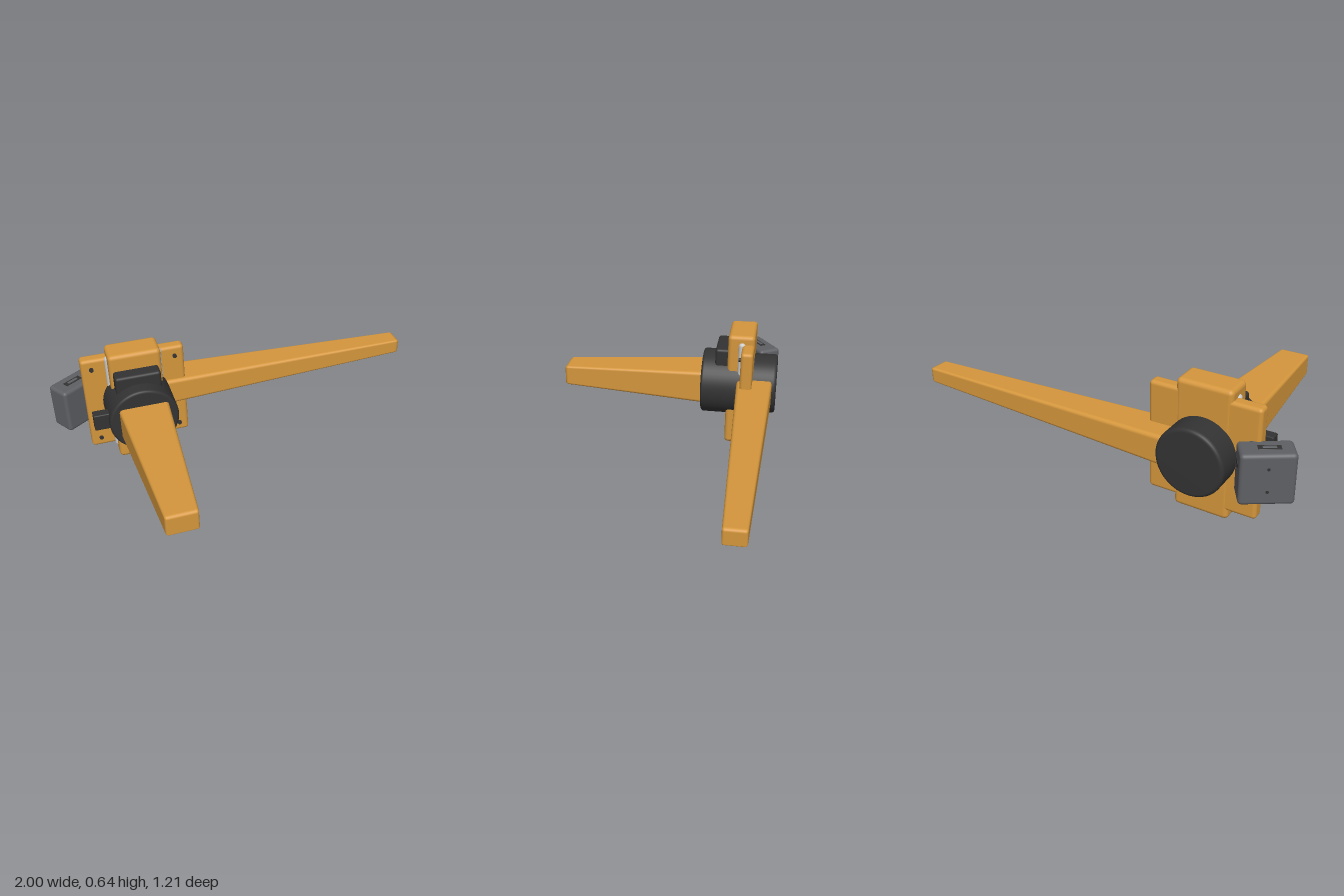
import * as THREE from 'three';
import { RoundedBoxGeometry } from 'three/addons/geometries/RoundedBoxGeometry.js';

const material = (name, color) => {
  const m = new THREE.MeshStandardMaterial({ color });
  m.name = name;
  return m;
};

export function createModel() {
  const orange = material('orange', 0xd4963c);
  const black = material('black', 0x333333);
  const grey = material('grey', 0x5f6064);
  const silver = material('silver', 0xc9c9c9);

  const CX = -0.56, CY = 0.325; // drum axis
  const model = new THREE.Group();
  model.name = 'model';

  const add = (parent, name, geometry, mat, x, y, z) => {
    const mesh = new THREE.Mesh(geometry, mat);
    mesh.name = name;
    mesh.position.set(x, y, z);
    parent.add(mesh);
    return mesh;
  };
  const block = (parent, name, mat, [x0, x1], [y0, y1], [z0, z1], r) =>
    add(parent, name, new RoundedBoxGeometry(x1 - x0, y1 - y0, z1 - z0, 3, r), mat,
      (x0 + x1) / 2, (y0 + y1) / 2, (z0 + z1) / 2);

  // Drum with softened rims, axis along z
  const drum = (name, radius, z0, z1, r) => {
    const h = z1 - z0, pts = [new THREE.Vector2(0, 0)];
    for (const [cy, start] of [[r, -90], [h - r, 0]]) {
      for (let i = 0; i <= 4; i++) {
        const a = THREE.MathUtils.degToRad(start + i * 22.5);
        pts.push(new THREE.Vector2(radius - r + r * Math.cos(a), cy + r * Math.sin(a)));
      }
    }
    pts.push(new THREE.Vector2(0, h));
    add(model, name, new THREE.LatheGeometry(pts, 56).rotateX(Math.PI / 2), black, CX, CY, z0);
  };

  // Rounded beam along z that narrows evenly towards +z
  const taperedArm = (w, h, length, tip) => {
    const g = new RoundedBoxGeometry(w, h, length, 4, 0.02);
    const p = g.attributes.position;
    for (let i = 0; i < p.count; i++) {
      const s = THREE.MathUtils.lerp(1, tip, p.getZ(i) / length + 0.5);
      p.setXY(i, p.getX(i) * s, p.getY(i) * s);
    }
    return g;
  };

  // Central body, side plate and the gasket between them
  block(model, 'body', orange, [-0.695, -0.423], [0, 0.645], [-0.478, -0.333], 0.022);
  block(model, 'mountingPlate', orange, [-0.83, -0.288], [0.05, 0.598], [-0.476, -0.411], 0.018);
  block(model, 'gasket', silver, [-0.707, -0.409], [0.037, 0.608], [-0.43, -0.391], 0.018);

  // Plate screws
  const screw = new THREE.CylinderGeometry(0.011, 0.011, 0.02, 16).rotateX(Math.PI / 2);
  for (const x of [-0.778, -0.34]) {
    for (const y of [0.105, 0.545]) add(model, 'plateScrew', screw, black, x, y, -0.409);
  }

  // Front and back drums with their housings
  drum('frontDrum', 0.181, -0.43, -0.19, 0.014);
  drum('backDrum', 0.166, -0.607, -0.44, 0.018);
  block(model, 'topHousing', black, [-0.68, -0.443], [0.4, 0.556], [-0.36, -0.264], 0.015);
  block(model, 'sideConnector', black, [-0.815, -0.7], [0.28, 0.372], [-0.292, -0.24], 0.006);

  // Two tapered arms
  add(model, 'frontArm', taperedArm(0.264, 0.19, 0.855, 0.59), orange, CX + 0.002, CY, 0.178);
  add(model, 'sideArm', taperedArm(0.196, 0.15, 1.44, 0.54).rotateY(Math.PI / 2),
    orange, 0.28, CY, -0.486);

  // Angled sensor case
  const sensor = new THREE.Group();
  sensor.name = 'sensor';
  sensor.position.set(-0.868, 0.324, -0.494);
  sensor.rotation.y = THREE.MathUtils.degToRad(33);
  model.add(sensor);
  add(sensor, 'sensorCase', new RoundedBoxGeometry(0.24, 0.244, 0.128, 3, 0.018), grey, 0, 0, 0);

  // Slot with an inner tongue on top
  add(sensor, 'sensorSlot', new RoundedBoxGeometry(0.1, 0.004, 0.034, 2, 0.002), black, -0.01, 0.122, 0);
  add(sensor, 'slotTongue', new RoundedBoxGeometry(0.06, 0.004, 0.016, 2, 0.002), grey, -0.01, 0.124, 0);

  // Case screws on the back and the cable socket on the inner side
  const dot = new THREE.CylinderGeometry(0.007, 0.007, 0.004, 12);
  for (const y of [-0.055, 0.055]) {
    add(sensor, 'caseScrew', dot, black, 0, y, -0.064).rotation.x = Math.PI / 2;
  }
  add(sensor, 'cableSocket', new THREE.CylinderGeometry(0.02, 0.02, 0.004, 20), black,
    0.12, 0.05, 0).rotation.z = Math.PI / 2;

  return model;
}
